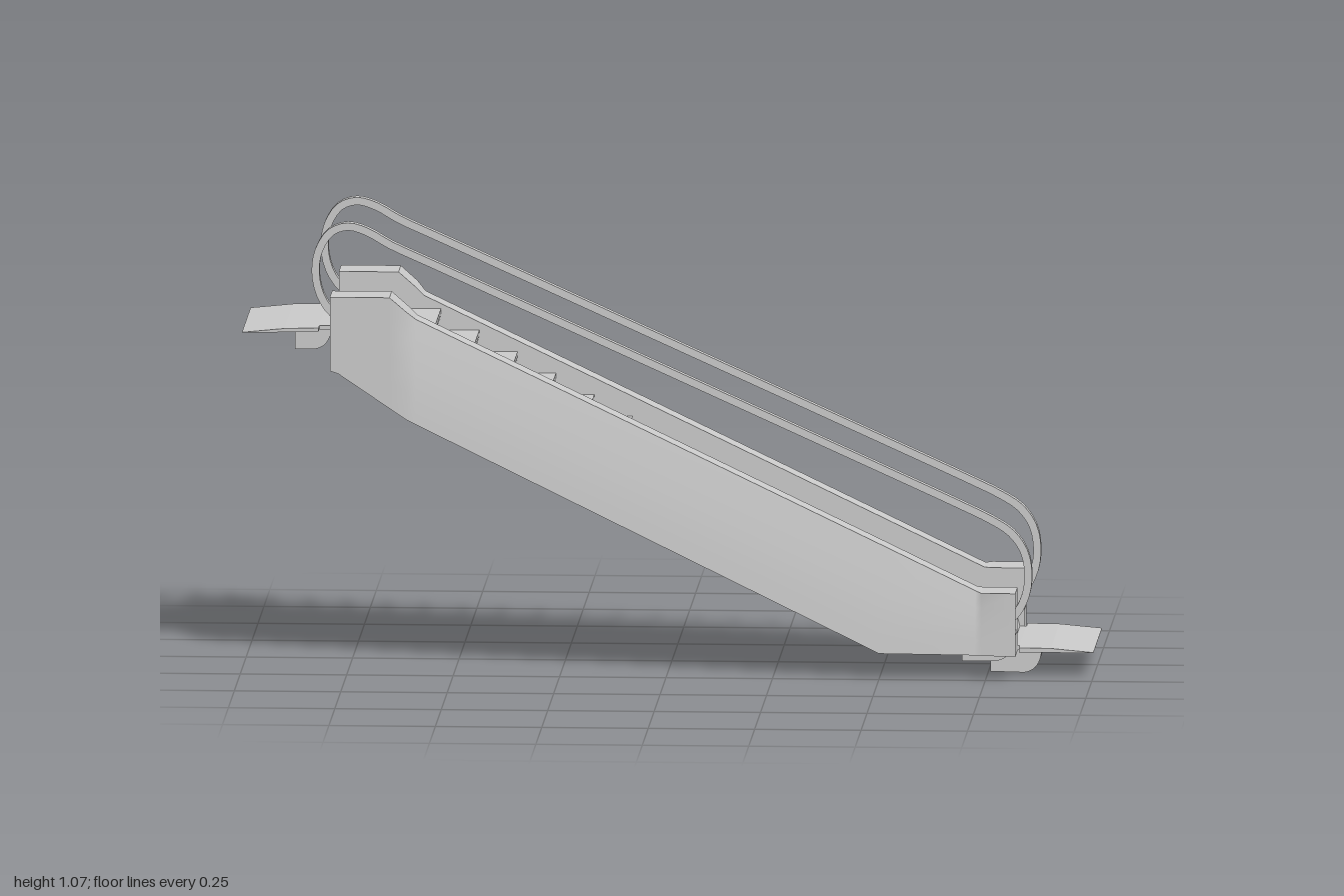
import * as THREE from 'three';

const material = new THREE.MeshStandardMaterial({ color: 0xcccccc, side: THREE.DoubleSide });
const V = (x, y, z) => new THREE.Vector3(x, y, z);

function add(parent, name, geometry) {
  const mesh = new THREE.Mesh(geometry, material);
  mesh.name = name;
  parent.add(mesh);
  return mesh;
}

// Surface through rows of points, smooth unless flat is set
function grid(rows, flat = false) {
  const n = rows[0].length, index = [];
  for (let i = 0; i < rows.length - 1; i++) {
    for (let j = 0; j < n - 1; j++) {
      const a = i * n + j, b = a + n;
      index.push(a, a + 1, b, b, a + 1, b + 1);
    }
  }
  let g = new THREE.BufferGeometry().setFromPoints(rows.flat());
  g.setIndex(index);
  if (flat) g = g.toNonIndexed();
  g.computeVertexNormals();
  return g;
}

// Side outline (x, y) swept between two z positions as an open sheet
const sheet = (pts, z0, z1) => grid([z0, z1].map(z => pts.map(([x, y]) => V(x, y, z))));

// Side outline swept as a solid
function prism(shape, z0, z1) {
  const g = new THREE.ExtrudeGeometry(shape, { depth: z1 - z0, bevelEnabled: false, curveSegments: 10 });
  return g.translate(0, 0, z0);
}
const outline = pts => new THREE.Shape(pts.map(([x, y]) => new THREE.Vector2(x, y)));

const INNER = 0.143, OUTER = 0.24;

// Stations along the side panel: x, top y, bottom y, z of the top outer edge
const STATIONS = [
  [-0.79, 0.895, 0.72, 0.24], [-0.77, 0.895, 0.713, 0.24], [-0.65, 0.895, 0.632, 0.24],
  [-0.61, 0.86, 0.605, 0.236], [-0.59, 0.84, 0.595, 0.212], [0.5, 0.316, 0.06, 0.212],
  [0.725, 0.207, 0.058, 0.212], [0.74, 0.205, 0.057, 0.238], [0.82, 0.205, 0.055, 0.24],
];

// End face of a panel with a pocket where the handrail enters
function panelEnd(parent, x, top, bottom, y0, y1, depth) {
  const face = outline([[INNER, bottom], [OUTER, bottom], [OUTER, top], [INNER, top]]);
  const ring = [[0.155, y0], [0.225, y0], [0.225, y1], [0.155, y1], [0.155, y0]];
  face.holes.push(new THREE.Path(ring.slice(0, 4).reverse().map(p => new THREE.Vector2(...p))));
  const g = new THREE.ShapeGeometry(face);
  g.rotateY(-Math.PI / 2).translate(x, 0, 0);
  if (x > 0) g.index.array.reverse(), g.computeVertexNormals();
  add(parent, 'panelEndFace', g);
  const inX = x - Math.sign(x) * depth;
  const rows = [x, inX].map(px => ring.map(([z, y]) => V(px, y, z)));
  rows.push(ring.map(() => V(inX, (y0 + y1) / 2, 0.19)));
  if (x > 0) rows.forEach(r => r.reverse());
  add(parent, 'handrailPocket', grid(rows, true));
}

function sidePanel() {
  const panel = new THREE.Group();
  const strip = fn => grid(STATIONS.map(s => fn(...s)));
  add(panel, 'panelTop', grid(STATIONS.map(([x, t, , z]) => [V(x, t, INNER), V(x, t, z)]), true));
  add(panel, 'panelOuterFace', strip((x, t, b, z) => [0, 0.25, 0.5, 0.75, 1].map(k =>
    V(x, t + (b - t) * k, z + (OUTER - z) * (1 - (1 - k) ** 1.4)))));
  add(panel, 'panelBottom', grid(STATIONS.map(([x, , b]) => [V(x, b, OUTER), V(x, b, INNER)]), true));
  add(panel, 'panelInnerFace', strip((x, t, b) => [V(x, b, INNER), V(x, t, INNER)]));
  panelEnd(panel, 0.82, 0.205, 0.055, 0.105, 0.167, 0.06);
  panelEnd(panel, -0.79, 0.895, 0.72, 0.8, 0.862, 0.06);
  return panel;
}

// Flat handrail band: a looped path offset to both sides
function handrail() {
  const path = new THREE.CatmullRomCurve3([
    [0.77, 0.12], [0.815, 0.145], [0.842, 0.195], [0.848, 0.25], [0.838, 0.3], [0.808, 0.343],
    [0.76, 0.374], [0.7, 0.403], [0.6, 0.449], [-0.55, 0.969], [-0.65, 1.014], [-0.705, 1.045],
    [-0.75, 1.057], [-0.79, 1.043], [-0.818, 1.0], [-0.826, 0.95], [-0.815, 0.895], [-0.785, 0.85],
    [-0.74, 0.825],
  ].map(([x, y]) => V(x, y, 0)), false, 'centripetal');
  const N = 54, left = [], right = [];
  for (let i = 0; i <= N; i++) {
    const p = path.getPoint(i / N), t = path.getTangent(i / N);
    left.push([p.x - t.y * 0.009, p.y + t.x * 0.009]);
    right.push([p.x + t.y * 0.009, p.y - t.x * 0.009]);
  }
  return prism(outline([...left, ...right.reverse()]), 0.177, 0.202);
}

// Treads with risers that curve back underneath the nose
function steps() {
  const group = new THREE.Group();
  group.name = 'steps';
  const count = 15, run = 0.09, rise = 0.0503;
  for (let k = 0; k < count; k++) {
    const x = -0.55 + run * k, y = 0.809 - rise * k;
    const drop = k < count - 1 ? rise : 0.02;
    const back = k === 0 ? -0.68 : x - run - 0.022;
    add(group, 'tread', sheet([[back, y], [x, y]], -INNER, INNER));
    const riser = [];
    for (let i = 0; i <= 6; i++) {
      const a = (i / 6) * Math.PI / 2;
      riser.push([x - 0.022 * (1 - Math.cos(a)), y - drop * Math.sin(a)]);
    }
    add(group, 'riser', sheet(riser, -INNER, INNER));
  }
  // Last flat tread running under the lower comb
  add(group, 'tread', sheet([[0.685, 0.085], [0.805, 0.085], [0.81, 0.065]], -INNER, INNER));
  return group;
}

export function createModel() {
  const model = new THREE.Group();
  model.name = 'escalator';

  for (const side of [1, -1]) {
    const half = new THREE.Group();
    half.name = side > 0 ? 'leftSide' : 'rightSide';
    const panel = sidePanel();
    panel.name = 'sidePanel';
    half.add(panel);
    add(half, 'handrail', handrail());
    half.scale.z = side;
    model.add(half);
  }
  model.add(steps());

  // Landing plates, tapering to a thin outer edge
  add(model, 'upperLandingPlate', prism(outline(
    [[-1, 0.799], [-0.82, 0.803], [-0.82, 0.812], [-0.9, 0.81], [-1, 0.8]]), -0.188, 0.178));
  add(model, 'upperComb', prism(outline(
    [[-0.82, 0.803], [-0.67, 0.803], [-0.67, 0.811], [-0.82, 0.812]]), -INNER, INNER));
  add(model, 'lowerLandingPlate', prism(outline(
    [[0.825, 0.056], [1, 0.056], [1, 0.057], [0.9, 0.066], [0.825, 0.067]]), -0.188, 0.178));
  add(model, 'lowerComb', prism(outline(
    [[0.7, 0.056], [0.825, 0.056], [0.825, 0.067], [0.7, 0.064]]), -INNER, INNER));

  // Rounded return housings below the plates
  const upper = new THREE.Shape();
  upper.moveTo(-0.878, 0.805);
  upper.lineTo(-0.878, 0.753);
  upper.lineTo(-0.835, 0.753);
  upper.quadraticCurveTo(-0.795, 0.757, -0.793, 0.805);
  add(model, 'upperReturnHousing', prism(upper, -0.17, 0.125));

  const lower = new THREE.Shape();
  lower.moveTo(0.755, 0.058);
  lower.lineTo(0.755, 0.002);
  lower.lineTo(0.835, 0);
  lower.quadraticCurveTo(0.874, 0.006, 0.876, 0.058);
  add(model, 'lowerReturnHousing', prism(lower, -0.17, 0.125));

  const guide = new THREE.Shape();
  guide.moveTo(0.69, 0.058);
  guide.lineTo(0.69, 0.03);
  guide.lineTo(0.765, 0.03);
  guide.quadraticCurveTo(0.8, 0.034, 0.802, 0.058);
  add(model, 'lowerGuideHousing', prism(guide, -INNER, 0.148));
  return model;
}
